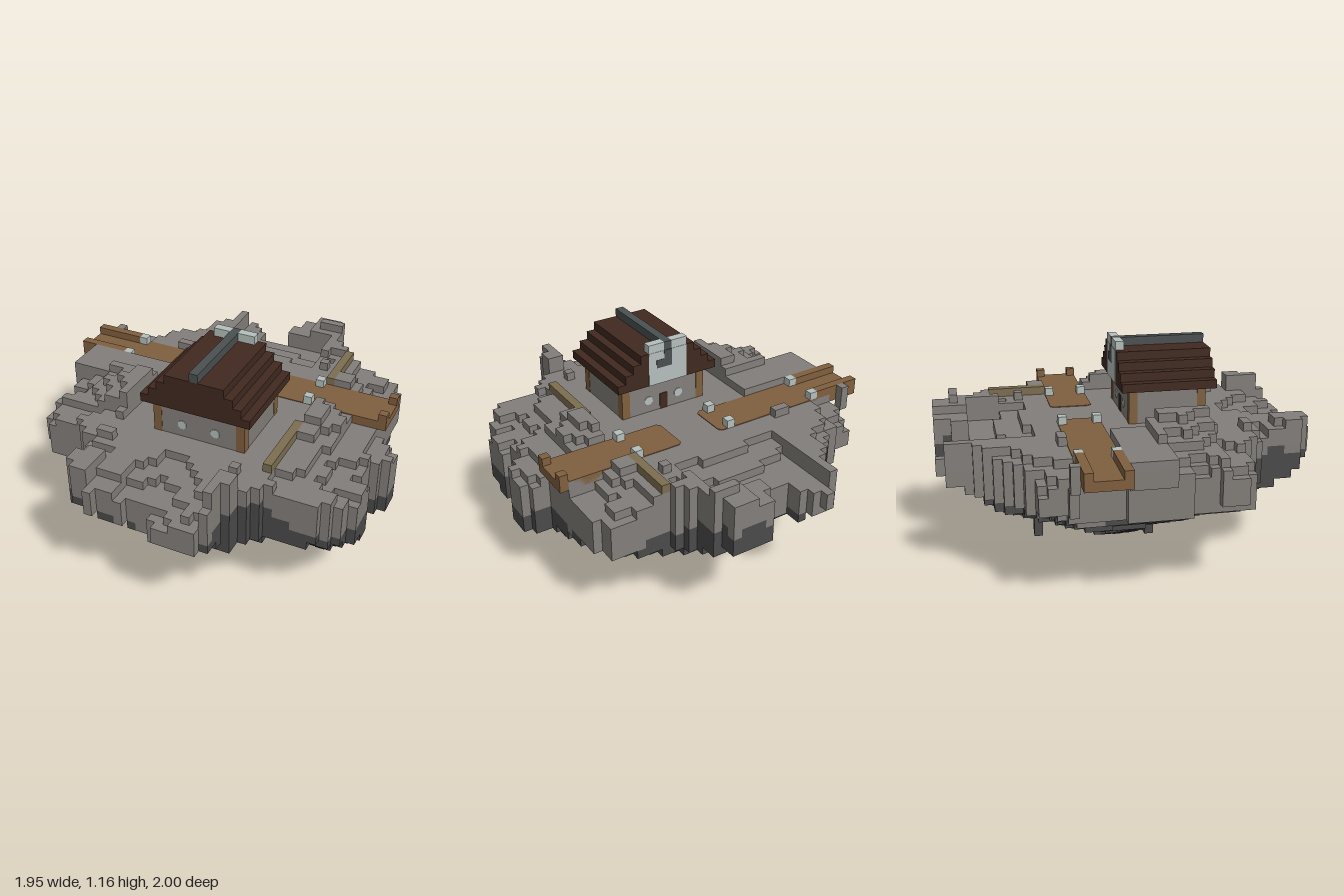
import * as THREE from 'three';

const V = 2 / 43; // edge of one voxel; all sizes below are in voxels

// Island rim seen from above (x, z)
const RIM = [
  [-6, -21.5], [-5, -21.5], [-3, -19], [-3, -17.5], [1, -17.5], [2, -21.5], [7, -21.5], [8, -17.5],
  [11, -14.5], [17, -14.5], [18, -11.5], [18, -2.5], [20, -2.5], [21, -0.5], [21, 0.5], [19, 3.5],
  [20, 8], [19, 11.5], [17, 13.5], [11, 13.5], [8, 18.5], [8, 20.5], [7, 21.5], [2, 21.5],
  [1, 19.5], [-2, 19.5], [-2, 20.5], [-5, 20.5], [-5, 21.5], [-6, 21.5], [-6, 20.5], [-8, 20.5],
  [-9, 18], [-9, 14.5], [-12, 11.5], [-17, 11.5], [-18, 9], [-17, 5.5], [-19, 1.5], [-19, -2.5],
  [-17, -2.5], [-17, -7.5], [-19, -7.5], [-19, -8.6], [-17, -8.6], [-17, -11], [-13, -12.5],
  [-9, -15.5], [-7, -17.5], [-7, -20],
];

function insideRim(x, z) {
  let inside = false;
  for (let a = 0, b = RIM.length - 1; a < RIM.length; b = a++) {
    const [xa, za] = RIM[a], [xb, zb] = RIM[b];
    if ((za > z) !== (zb > z) && x < ((xb - xa) * (z - za)) / (zb - za) + xa) inside = !inside;
  }
  return inside;
}

// Smooth seeded noise, -1 to 1
function hash(i, k) {
  const n = Math.sin(i * 127.1 + k * 311.7) * 43758.5453;
  return (n - Math.floor(n)) * 2 - 1;
}
function noise(x, z) {
  const i = Math.floor(x), k = Math.floor(z), u = x - i, w = z - k;
  const mix = THREE.MathUtils.lerp;
  return mix(mix(hash(i, k), hash(i + 1, k), u), mix(hash(i, k + 1), hash(i + 1, k + 1), u), w);
}

// Top of the ground: level yard and path, gullied mounds at the sides, terraces at front and back
function groundTop(x, z) {
  const yard = x > -8 && x < 11 && z > -10.5 && z < 13;
  const onPath = z > -7.6 && z < -2.4;
  const fenceLine = x > 10 && x < 11 && z > -14.6;
  if (yard || onPath || fenceLine) return x > 19 ? 15 : 16;
  if (x < -18) return 17;
  if (z < -17.4 && x > 1) return z === -19 && x > 5 ? 18 : x < 4 ? 16 : 17;
  if (x > -6 && x < 7) {
    if (z < 0) return Math.round(Math.max(14, 16 - 0.35 * (Math.hypot(x - 1, z) - 10)));
    const ridge = Math.abs(x - 1) > 4 ? 1 : 0;
    return Math.min(16, Math.round(16 - (z - 12) * 0.3 + ridge + noise(x * 0.5, z * 0.15)));
  }
  const lumps = noise(x * 0.25, z * 0.55);
  // Rocky bank beside the left path
  if (x < 0 && z > -2.5 && z < 2.5) return Math.round(17.8 + lumps - (z > 0.5 ? 0.6 : 0));
  const s = Math.max(0, x < 0 ? -8 - x : x - 10);
  const [reach, fade] = x < 0 ? [9, 12] : [3, 5];
  let h = 16.2 + 1.2 * lumps - 0.38 * Math.max(0, s - 3);
  h -= 0.25 * Math.max(0, Math.abs(z) - 9) * Math.min(1, s / 3);
  if (z > -2.5 && z < reach) h += 2.2 * Math.max(0, 1 - s / fade);
  if (z > 15 && z < 20) h += x > 0 ? 1.4 : 0.8;
  if (x > 15 && z > -2.5) h = Math.min(h, 15);
  return Math.min(19, Math.round(h));
}

// Cone-shaped underside with hanging spikes
function groundBottom(x, z) {
  const dx = x - 1.5;
  const rx = dx > 9 && z > -4 ? 10 + (dx - 9) * 0.3 : dx;
  const b = Math.floor(0.5 * Math.hypot(rx, z) + 0.9 + 0.7 * noise(x * 0.3 + 9, z * 0.3));
  for (const [sx, sz, sy] of [[1.5, 0, 0], [-1.5, -10, 2], [-7.5, 2, 4], [2.5, 14, 6]]) {
    if (x === sx && z === sz) return sy;
  }
  return x < -18 ? 14 : Math.max(1, b);
}

// Height where the pale rock changes to dark rock
function rockLine(x, z) {
  let y = 9.8 + 0.9 * noise(x * 0.3, z * 0.3 + 5);
  for (const [px, pz] of [[-8, 16], [9, 15], [5, -20]]) y += 4.5 * Math.exp(-((x - px) ** 2 + (z - pz) ** 2) / 32);
  return Math.round(y);
}

// Outer faces of the island, one geometry for each kind of rock
function islandGeometries() {
  const columns = new Map();
  for (let i = -21; i < 21; i++) for (let k = -21; k <= 21; k++) {
    const x = i + 0.5;
    if (!insideRim(x, k)) continue;
    const low = groundBottom(x, k), high = Math.max(low + 2, groundTop(x, k));
    columns.set(i + ',' + k, { i, k, low, high, line: Math.min(high - 2, rockLine(x, k)) });
  }
  const filled = (i, j, k) => {
    const c = columns.get(i + ',' + k);
    return c !== undefined && j >= c.low && j < c.high;
  };
  const lists = [[], []];
  for (const { i, k, low, high, line } of columns.values()) for (let j = low; j < high; j++) {
    const out = lists[j < line ? 1 : 0];
    for (let axis = 0; axis < 3; axis++) for (const side of [-1, 1]) {
      const next = [i, j, k];
      next[axis] += side;
      if (filled(...next)) continue;
      const corners = [[0, 0], [1, 0], [1, 1], [0, 1]].map(([u, v]) => {
        const p = [i, j, k - 0.5];
        p[axis] += side > 0 ? 1 : 0;
        p[(axis + 1) % 3] += u;
        p[(axis + 2) % 3] += v;
        return p.map((n) => n * V);
      });
      if (side < 0) corners.reverse();
      for (const c of [0, 1, 2, 0, 2, 3]) out.push(...corners[c]);
    }
  }
  return lists.map((list) => {
    const g = new THREE.BufferGeometry();
    g.setAttribute('position', new THREE.Float32BufferAttribute(list, 3));
    g.computeVertexNormals();
    return g;
  });
}

export function createModel() {
  const model = new THREE.Group();
  const material = (name, color) => {
    const m = new THREE.MeshStandardMaterial({ color });
    m.name = name;
    return m;
  };
  const stone = material('pale stone', 0x827e7a);
  const darkStone = material('dark stone', 0x4a4a4a);
  const wood = material('brown wood', 0x7f5f3e);
  const roofWood = material('dark roof wood', 0x40291f);
  const slate = material('slate', 0x4a4f50);
  const lamp = material('pale glass', 0xb4bfbc);
  const fenceWood = material('olive wood', 0x7c6d50);

  const add = (parent, name, geometry, mat) => {
    const mesh = new THREE.Mesh(geometry, mat);
    mesh.name = name;
    parent.add(mesh);
    return mesh;
  };
  // Box between two corners, in voxels
  const box = (parent, name, mat, x0, x1, y0, y1, z0, z1) => {
    const mesh = add(parent, name, new THREE.BoxGeometry((x1 - x0) * V, (y1 - y0) * V, (z1 - z0) * V), mat);
    mesh.position.set(((x0 + x1) / 2) * V, ((y0 + y1) / 2) * V, ((z0 + z1) / 2) * V);
  };
  const group = (name) => {
    const g = new THREE.Group();
    g.name = name;
    model.add(g);
    return g;
  };

  // Floating island
  const island = group('island');
  const [upper, lower] = islandGeometries();
  add(island, 'upperRock', upper, stone);
  add(island, 'lowerRock', lower, darkStone);

  // Plank paths with clipped inner corners
  const paths = group('paths');
  for (const [outer, inner] of [[-21, -1], [19, 4]]) {
    const cut = Math.sign(outer - inner) * 0.4;
    const shape = new THREE.Shape([
      [outer, 2.5], [inner + cut, 2.5], [inner, 2.9], [inner, 7.1], [inner + cut, 7.5], [outer, 7.5],
    ].map(([x, y]) => new THREE.Vector2(x * V, y * V)));
    const path = add(paths, 'path', new THREE.ExtrudeGeometry(shape, { depth: V + 0.004, bevelEnabled: false }), wood);
    path.rotation.x = -Math.PI / 2;
    path.position.y = 15 * V;
  }
  // Rails, posts and lamps along both edges
  for (const z of [-7.5, -3.5]) {
    box(paths, 'rail', wood, -21, -15, 16, 17, z, z + 1);
    box(paths, 'endPost', wood, 18, 19, 16, 17, z, z + 1);
    for (const x of [-15, -3, 9]) box(paths, 'lamp', lamp, x, x + 1, 16, 17, z, z + 1);
  }

  // Low fences
  const fences = group('fences');
  box(fences, 'backFence', fenceWood, 10, 11, 16, 17, -14.5, -7.5);
  box(fences, 'frontFence', fenceWood, 10, 11, 16, 17, 2.5, 11.5);

  // House walls and corner posts
  const house = group('house');
  box(house, 'walls', stone, -3.95, 6.95, 16, 20, 0.55, 9.45);
  for (const x of [-4, 6]) for (const z of [0.5, 8.5]) box(house, 'cornerPost', wood, x, x + 1, 16, 20, z, z + 1);

  // Round windows front and back, door at the back
  for (const x of [-0.5, 3.5]) for (const z of [9.47, 0.53]) {
    const pane = add(house, 'window', new THREE.CylinderGeometry(0.55 * V, 0.55 * V, 0.006, 8), lamp);
    pane.rotation.set(Math.PI / 2, Math.PI / 8, 0);
    pane.position.set(x * V, 17.5 * V, z * V);
  }
  box(house, 'door', roofWood, 1, 2, 16, 18, 0.48, 0.6);

  // Stepped roof
  for (let s = 0; s < 4; s++) box(house, 'roofStep', roofWood, -5 + s, 8 - s, 20 + s, 21 + s, -0.5, 10.5);
  box(house, 'ridge', slate, 1, 2, 24, 25, -0.5, 10.5);

  // Pale gable panel at the back with a slate hook
  for (const x of [-1, 2]) box(house, 'gableCap', lamp, x, x + 2, 24, 25, -0.5, 0.5);
  box(house, 'gablePanel', lamp, -1, 4, 20, 24, -0.54, -0.48);
  box(house, 'hookStem', slate, 1, 2, 22, 24, -0.58, -0.5);
  box(house, 'hookFoot', slate, 2, 3, 22, 23, -0.58, -0.5);

  return model;
}
